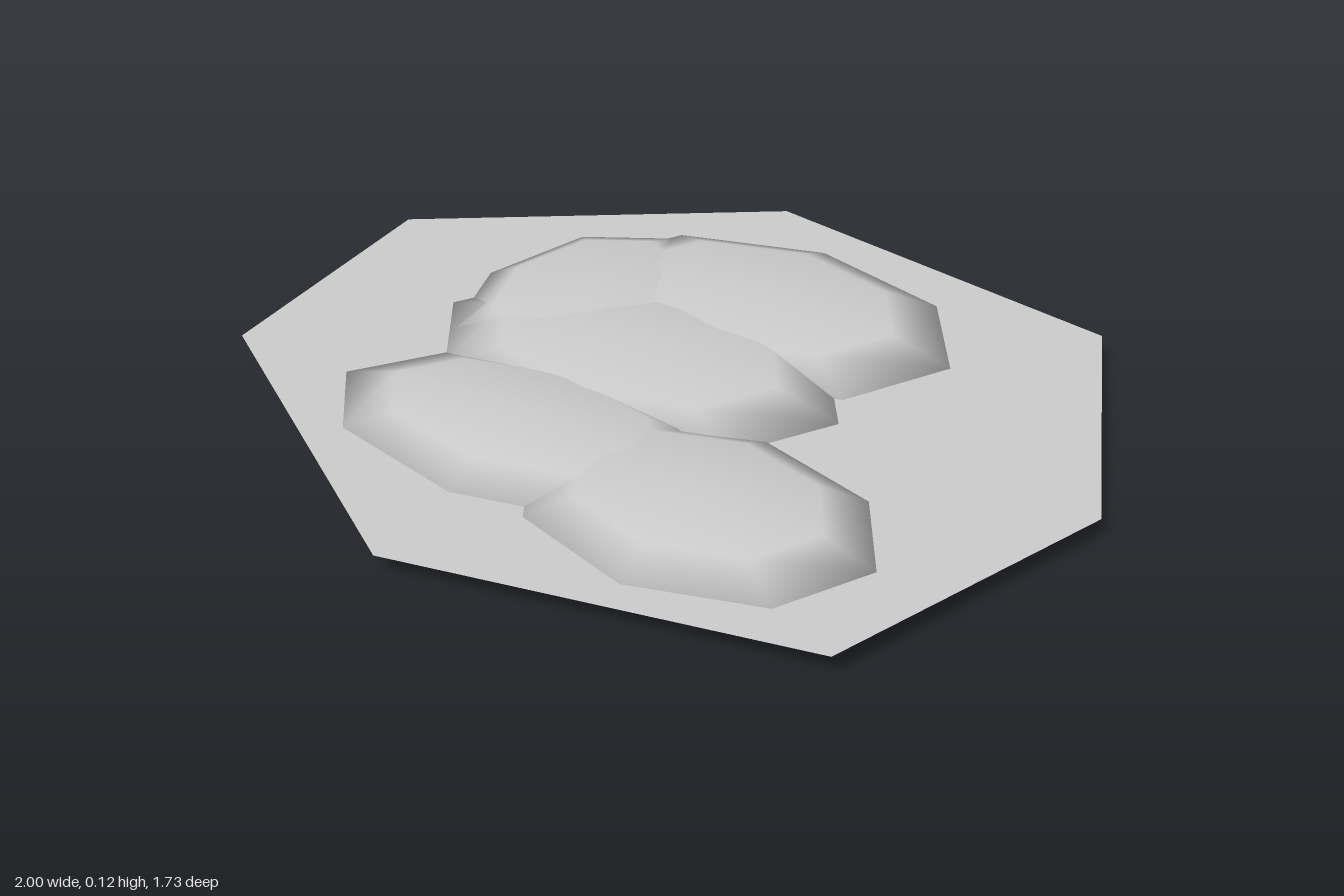
import * as THREE from 'three';

export function createModel() {
  const model = new THREE.Group();
  const stoneGrey = new THREE.MeshStandardMaterial({ color: 0xcccccc, side: THREE.DoubleSide });
  const midHeight = 0.062;

  // Thin seven-sided sheet running through the middle of the stones
  const outline = [
    [1, 0.01], [0.74, -0.68], [-0.19, -0.865], [-1, -0.32],
    [-0.965, 0.35], [-0.17, 0.86], [0.735, 0.67],
  ];
  const shape = new THREE.Shape(outline.map(([x, z]) => new THREE.Vector2(x, -z)));
  const sheet = new THREE.Mesh(new THREE.ShapeGeometry(shape).rotateX(-Math.PI / 2), stoneGrey);
  sheet.name = 'groundSheet';
  sheet.position.y = midHeight;
  model.add(sheet);

  // Flattened, overlapping eight-sided stones: [name, x, z, radiusX, radiusZ]
  const stones = [
    ['backStone', 0, -0.365, 0.5, 0.345],
    ['sideStone', -0.355, -0.195, 0.295, 0.39],
    ['middleStone', -0.125, -0.03, 0.515, 0.33],
    ['frontRightStone', -0.175, 0.35, 0.48, 0.26],
    ['frontLeftStone', 0.29, 0.4, 0.403, 0.288],
  ];
  const stoneGeometry = new THREE.SphereGeometry(1, 8, 4);
  for (const [name, x, z, radiusX, radiusZ] of stones) {
    const stone = new THREE.Mesh(stoneGeometry, stoneGrey);
    stone.name = name;
    stone.position.set(x, midHeight, z);
    stone.scale.set(radiusX, midHeight, radiusZ);
    model.add(stone);
  }

  return model;
}
